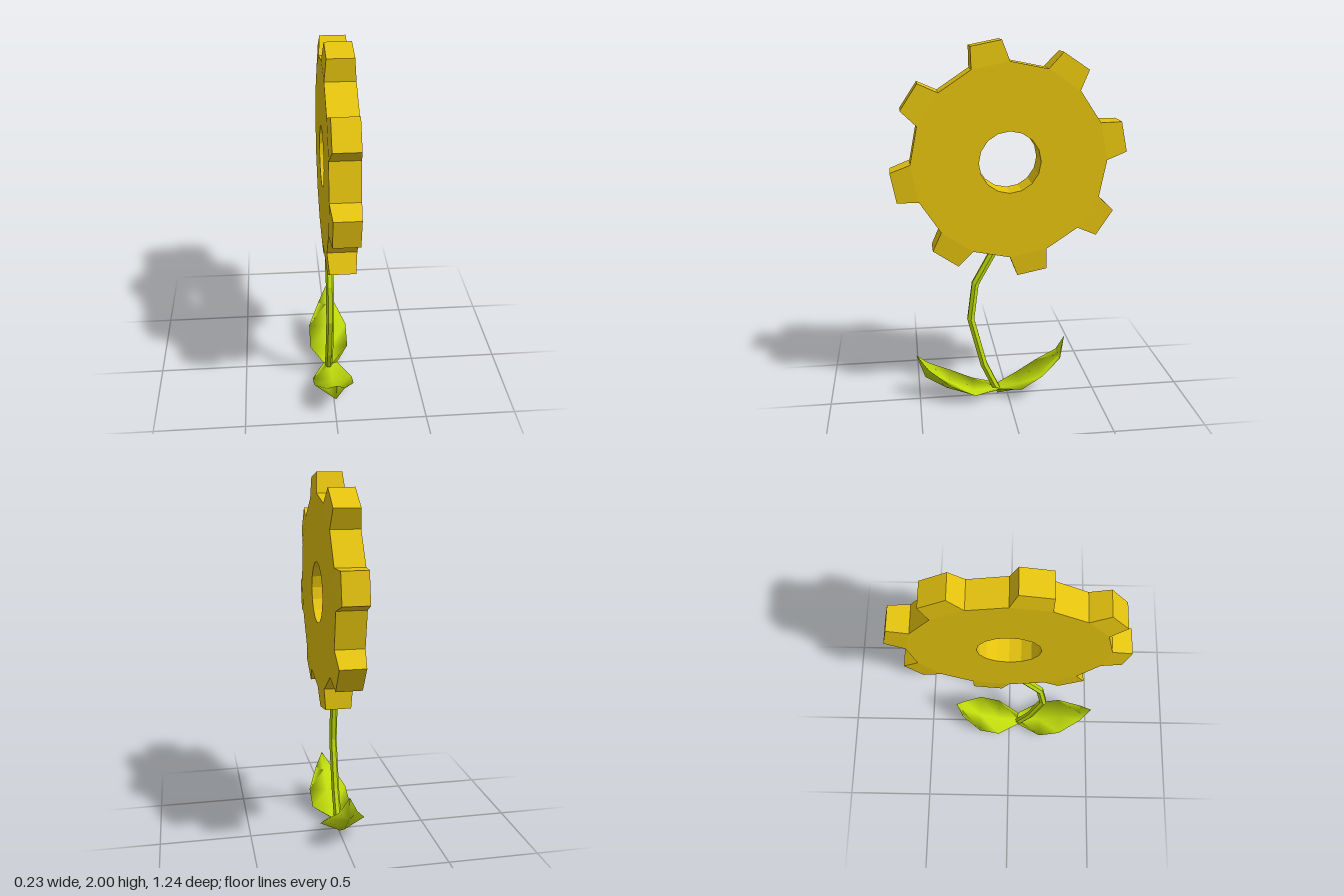
import * as THREE from 'three';

const HUB_Y = 1.38, R = 0.515, TIP_R = 0.622, TEETH = 8;
const X0 = -0.042, X1 = 0.112; // gear faces
const V = (x, y, z) => new THREE.Vector3(x, y, z);

// Skin a list of rings, each ordered counter-clockwise around the path
function loft(rings) {
  const n = rings[0].length, index = [];
  for (let i = 0; i < rings.length - 1; i++) {
    for (let k = 0; k < n; k++) {
      const a = i * n + k, b = i * n + (k + 1) % n;
      index.push(a, b, b + n, a, b + n, a + n);
    }
  }
  const g = new THREE.BufferGeometry().setFromPoints(rings.flat());
  g.setIndex(index);
  g.computeVertexNormals();
  return g;
}

function add(parent, name, geometry, material) {
  const mesh = new THREE.Mesh(geometry, material);
  mesh.name = name;
  parent.add(mesh);
  return mesh;
}

function createGear(material) {
  const gear = new THREE.Group();
  gear.name = 'gearBlossom';
  gear.position.y = HUB_Y;

  // Sixteen-sided disc with a round hole
  const ring = (r) => Array.from({ length: 16 }, (_, i) => {
    const a = i * Math.PI / 8;
    return new THREE.Vector2(r * Math.cos(a), r * Math.sin(a));
  });
  const shape = new THREE.Shape(ring(R));
  shape.holes.push(new THREE.Path(ring(0.163)));
  const disc = add(gear, 'gearDisc',
    new THREE.ExtrudeGeometry(shape, { depth: X1 - X0, bevelEnabled: false }), material);
  disc.rotation.y = -Math.PI / 2;
  disc.position.x = X1;

  // Tapered teeth on every second side of the disc
  const half = Math.PI / 16, tipHalf = Math.PI / 24;
  const inner = R * Math.cos(half), outer = TIP_R * Math.cos(tipHalf);
  const tooth = new THREE.BoxGeometry(X1 - X0, outer - inner, 2 * R * Math.sin(half));
  tooth.translate((X0 + X1) / 2, (inner + outer) / 2, 0);
  const p = tooth.attributes.position;
  for (let i = 0; i < p.count; i++) {
    if (p.getY(i) < (inner + outer) / 2) continue;
    p.setX(i, p.getX(i) > 0 ? X1 - 0.008 : X0 + 0.01);
    p.setZ(i, Math.sign(p.getZ(i)) * TIP_R * Math.sin(tipHalf));
  }
  tooth.computeVertexNormals();
  for (let i = 0; i < TEETH; i++) {
    add(gear, 'gearTooth', tooth, material).rotation.x = half + i * 2 * Math.PI / TEETH;
  }
  return gear;
}

// Bent six-sided stem through [z, y] points
function stemGeometry(points, x, radius) {
  const path = points.map(([z, y]) => V(x, y, z));
  return loft(path.map((c, i) => {
    const t = path[Math.min(i + 1, path.length - 1)].clone()
      .sub(path[Math.max(i - 1, 0)]).normalize();
    return Array.from({ length: 6 }, (_, k) => {
      const a = k * Math.PI / 3, s = radius * Math.sin(a);
      return V(c.x + radius * Math.cos(a), c.y + s * t.z, c.z - s * t.y);
    });
  }));
}

// Cupped leaf; each section is [edge z, edge y, keel z, keel y, half width]
function leafGeometry(sections, side) {
  return loft(sections.map(([ez, ey, kz, ky, w]) => {
    const midZ = ez * 0.6 + kz * 0.4, midY = ey * 0.6 + ky * 0.4;
    const ring = [V(w, ey, ez), V(0, ky, kz), V(-w, ey, ez), V(0, midY, midZ)];
    return side < 0 ? ring : ring.reverse();
  }));
}

export function createModel() {
  const model = new THREE.Group();
  model.name = 'gearFlower';
  const yellow = new THREE.MeshStandardMaterial({ color: 0xe6c40f, flatShading: true });
  const green = new THREE.MeshStandardMaterial({ color: 0xc0dc0c, flatShading: true });
  const leafGreen = new THREE.MeshStandardMaterial({ color: 0xc0dc0c, side: THREE.DoubleSide });

  model.add(createGear(yellow));

  add(model, 'stem', stemGeometry(
    [[0.06, 0.03], [0.134, 0.19], [0.205, 0.47], [0.178, 0.68], [0.055, 0.9]],
    -0.012, 0.022), green);

  add(model, 'frontLeaf', leafGeometry([
    [0.05, 0.035, 0.05, 0.03, 0],
    [0.06, 0.055, 0.06, 0.022, 0.04],
    [0.195, 0.056, 0.2, 0.003, 0.113],
    [0.32, 0.115, 0.35, 0.06, 0.111],
    [0.45, 0.2, 0.468, 0.135, 0.05],
    [0.515, 0.272, 0.515, 0.272, 0],
  ], 1), leafGreen);

  add(model, 'backLeaf', leafGeometry([
    [0.065, 0.03, 0.065, 0.025, 0],
    [0.055, 0.05, 0.058, 0.008, 0.04],
    [-0.065, 0.075, -0.075, 0.024, 0.112],
    [-0.185, 0.15, -0.196, 0.093, 0.112],
    [-0.29, 0.24, -0.307, 0.2, 0.05],
    [-0.328, 0.34, -0.328, 0.34, 0],
  ], -1), leafGreen);

  return model;
}
